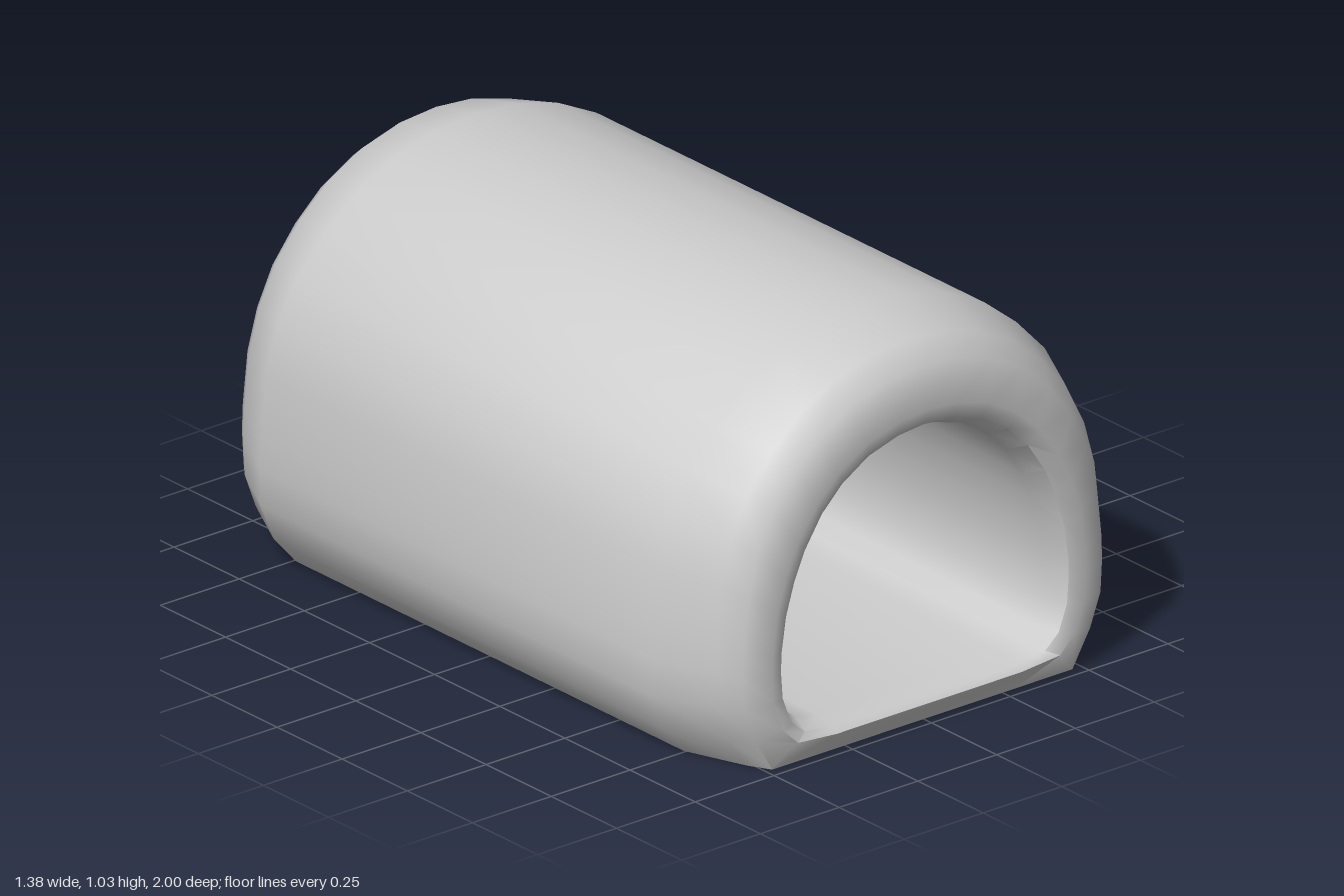
import * as THREE from 'three';
import { toCreasedNormals } from 'three/addons/utils/BufferGeometryUtils.js';

// Half profiles from the crown round the +x side to the floor: [outer x, outer y, inner x, inner y]
const HALF = [
  [0, 1.035, 0, 0.765], [0.13, 1.025, 0.08, 0.757], [0.26, 0.99, 0.17, 0.73],
  [0.38, 0.93, 0.25, 0.68], [0.48, 0.85, 0.31, 0.62], [0.57, 0.755, 0.36, 0.54],
  [0.635, 0.64, 0.39, 0.47], [0.67, 0.52, 0.415, 0.39], [0.685, 0.36, 0.43, 0.30],
  [0.69, 0.28, 0.43, 0.25], [0.685, 0.18, 0.425, 0.19], [0.645, 0.08, 0.40, 0.125],
  [0.575, 0, 0.36, 0.095], [0.3, 0, 0.29, 0.08],
];

// Rounded lip, from the outer skin to the bore: [z, blend in x, blend in y, blend in y at the floor]
const LIP = [
  [0.745, 0, 0, 0], [0.91, 0.3, 0.15, 0], [0.97, 0.46, 0.33, 0],
  [1, 0.74, 0.72, 0.69], [0.985, 0.9, 0.88, 0.87], [0.92, 1, 1, 1],
];

function tunnelGeometry() {
  const mirrored = HALF.slice(1).reverse().map(([ox, oy, ix, iy]) => [-ox, oy, -ix, iy]);
  const profile = [...HALF, ...mirrored];
  // Back lip runs from bore to skin, front lip from skin to bore; the loop closes through the bore
  const back = LIP.map(([z, ...t]) => [-z, ...t]).reverse();
  const rings = [...back, ...LIP];
  const n = profile.length;
  const positions = [];
  const index = [];

  rings.forEach(([z, tx, ty, tFloor], i) => {
    const next = (i + 1) % rings.length;
    profile.forEach(([ox, oy, ix, iy], j) => {
      const skew = tx * (0.0075 - 0.0175 * z); // the bore runs slightly askew
      const blendY = oy < 0.01 ? tFloor : ty;
      positions.push(
        THREE.MathUtils.lerp(ox, ix, tx) + skew,
        THREE.MathUtils.lerp(oy, iy, blendY),
        z
      );
      const k = (j + 1) % n;
      const a = i * n + j, b = i * n + k, c = next * n + j, d = next * n + k;
      index.push(a, c, b, b, c, d);
    });
  });

  const geometry = new THREE.BufferGeometry();
  geometry.setAttribute('position', new THREE.Float32BufferAttribute(positions, 3));
  geometry.setIndex(index);
  return toCreasedNormals(geometry, 0.82);
}

export function createModel() {
  const group = new THREE.Group();
  group.name = 'archedTunnel';
  const shell = new THREE.Mesh(
    tunnelGeometry(),
    new THREE.MeshStandardMaterial({ color: 0xcccccc })
  );
  shell.name = 'tunnelShell';
  group.add(shell);
  return group;
}
